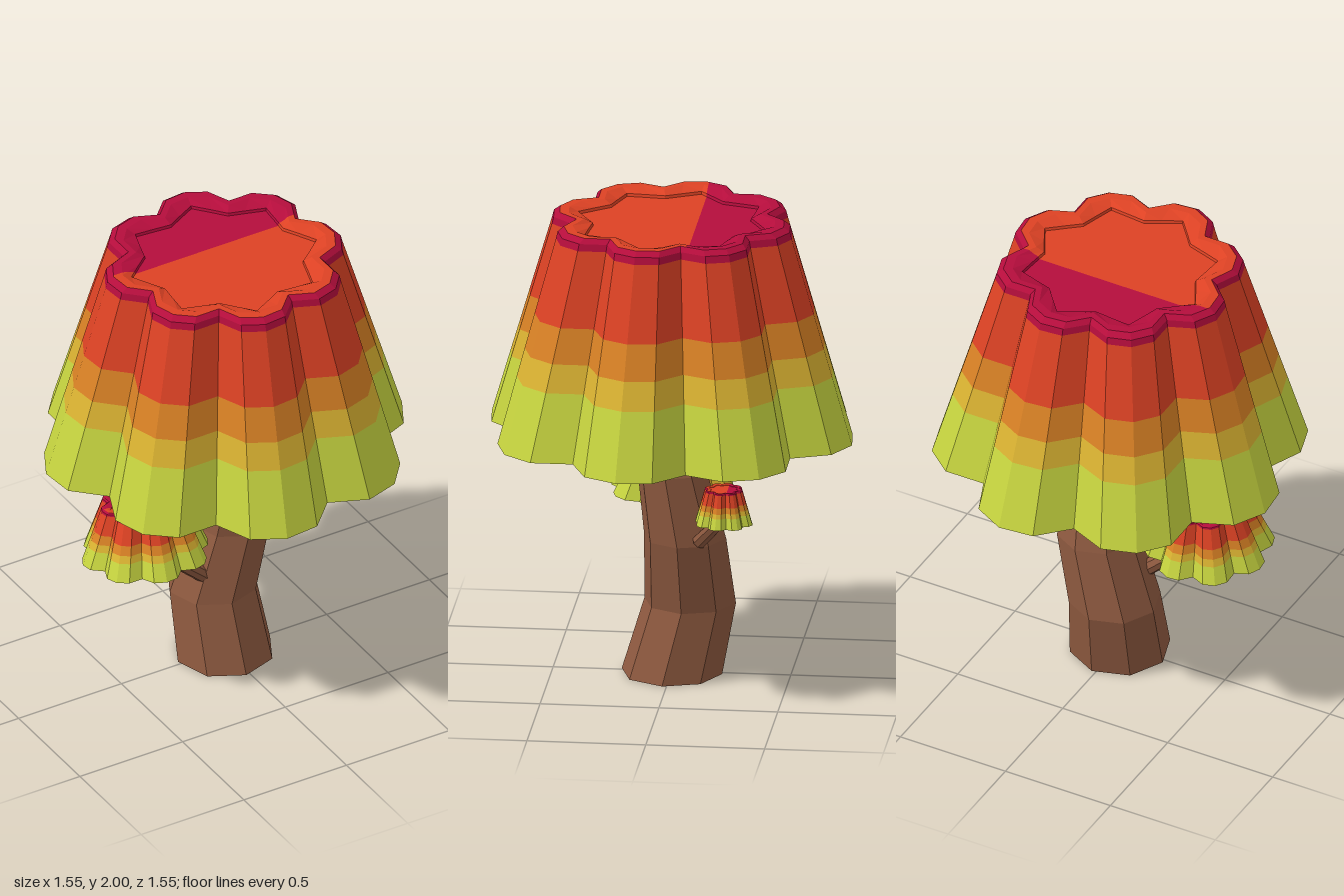
import * as THREE from 'three';

const mat = (name, color) => {
  const m = new THREE.MeshStandardMaterial({ color });
  m.name = name;
  return m;
};

// Outline of the foliage: eight lobes of four points each
const LOBE = [0.76, 0.79, 0.76, 0.645];
const STAR = [0.695, 0.79, 0.695, 0.64];
const N = 32;

const ring = (scale, y, outline = LOBE) =>
  Array.from({ length: N }, (_, i) => {
    const a = (i / N) * Math.PI * 2, r = outline[i % 4] * scale;
    return new THREE.Vector3(Math.cos(a) * r, y, Math.sin(a) * r);
  });

// Keep the part of a convex polygon where sign * (z - cut) >= 0
function clip(poly, cut, sign) {
  const out = [];
  poly.forEach((p, i) => {
    const q = poly[(i + 1) % poly.length];
    const dp = sign * (p.z - cut), dq = sign * (q.z - cut);
    if (dp >= 0) out.push(p);
    if (dp * dq < 0) out.push(p.clone().lerp(q, dp / (dp - dq)));
  });
  return out;
}

// Flat-faced geometry from convex polygons
function facets(polys) {
  const pts = [];
  for (const p of polys)
    for (let i = 1; i + 1 < p.length; i++)
      if (new THREE.Triangle(p[0], p[i], p[i + 1]).getArea() > 1e-8) pts.push(p[0], p[i], p[i + 1]);
  const g = new THREE.BufferGeometry().setFromPoints(pts);
  g.computeVertexNormals();
  return g;
}

// Quads between two rings, the second one higher or further in
const band = (lo, hi) => lo.map((p, i) => {
  const j = (i + 1) % lo.length;
  return [p, hi[i], hi[j], lo[j]];
});

export function createModel() {
  const bark = mat('bark', 0x8f5a40);
  const lime = mat('lime', 0xc8d640);
  const yellow = mat('yellow', 0xdcb432);
  const orange = mat('orange', 0xda8225);
  const red = mat('red', 0xdd4224);
  const crimson = mat('crimson', 0xb50d3c);

  const model = new THREE.Group();
  model.name = 'tree';
  const add = (parent, name, geo, material) => {
    const m = new THREE.Mesh(geo, material);
    m.name = name;
    parent.add(m);
    return m;
  };

  // Foliage: coloured bands from the underside up to the rim
  const rows = [
    ['underside', lime, ring(0, 0), ring(1, 0)],
    ['lowerBand', lime, ring(1, 0), ring(0.89, 0.29)],
    ['yellowBand', yellow, ring(0.89, 0.29), ring(0.844, 0.41)],
    ['orangeBand', orange, ring(0.844, 0.41), ring(0.787, 0.56)],
    ['redBand', red, ring(0.787, 0.56), ring(0.665, 0.88)],
    ['rimSide', crimson, ring(0.665, 0.88), ring(0.655, 0.91)],
    ['rimEdge', crimson, ring(0.655, 0.91), ring(0.62, 0.93)],
  ].map(([name, material, lo, hi]) => [name, facets(band(lo, hi)), material]);

  // Sunken top, crimson at the back and red in front
  const topRings = [ring(0.62, 0.93), ring(0.57, 0.93), ring(0.52, 0.912, STAR),
    ring(0.515, 0.9, STAR), ring(0, 0.9)];
  const topPolys = topRings.slice(1).flatMap((hi, i) => band(topRings[i], hi));
  // split each quad into triangles so clipping stays exact
  const topTris = topPolys.flatMap(([a, b, c, d]) => [[a, b, c], [a, c, d]]);
  for (const [name, sign, material] of [['topFront', 1, red], ['topBack', -1, crimson]])
    rows.push([name, facets(topTris.map(t => clip(t, -0.105, sign))), material]);

  function foliage(name, position, scale, tilt = 0) {
    const g = new THREE.Group();
    g.name = name;
    for (const [part, geo, material] of rows) add(g, part, geo, material);
    g.position.set(...position);
    g.scale.set(...scale);
    g.rotation.x = tilt;
    model.add(g);
  }
  foliage('mainFoliage', [0, 1.07, 0], [1, 1, 1]);
  foliage('rightFoliage', [-0.405, 0.657, 0.035], [0.35, 0.262, 0.35], -0.08);
  foliage('leftFoliage', [0.363, 0.78, -0.258], [0.153, 0.161, 0.158]);

  // Trunk: bent octagonal cross-sections (x, y, z, radius)
  const sections = [
    [0, 0, 0, 0.214], [-0.015, 0.31, -0.075, 0.195], [0.07, 0.62, -0.063, 0.175],
    [0.092, 0.92, -0.01, 0.148], [0.05, 1.075, 0.018, 0.137],
  ].map(([x, y, z, r]) => Array.from({ length: 8 }, (_, i) => {
    const a = (5 + i * 45) * Math.PI / 180;
    return new THREE.Vector3(x + Math.cos(a) * r, y, z + Math.sin(a) * r);
  }));
  const trunkFaces = sections.slice(1).flatMap((hi, i) => band(sections[i], hi));
  trunkFaces.push(sections[0]);
  add(model, 'trunk', facets(trunkFaces), bark);

  // Branches holding the small foliage
  function branch(name, from, to, r0, r1) {
    const a = new THREE.Vector3(...from), b = new THREE.Vector3(...to);
    const dir = b.clone().sub(a);
    const geo = new THREE.CylinderGeometry(r1, r0, dir.length(), 8).toNonIndexed();
    geo.computeVertexNormals();
    const m = add(model, name, geo, bark);
    m.position.copy(a).add(b).multiplyScalar(0.5);
    m.quaternion.setFromUnitVectors(new THREE.Vector3(0, 1, 0), dir.normalize());
  }
  branch('rightBranch', [-0.1, 0.42, 0.02], [-0.38, 0.67, 0.035], 0.036, 0.03);
  branch('leftBranch', [0.215, 0.645, -0.14], [0.363, 0.8, -0.258], 0.032, 0.026);

  return model;
}
